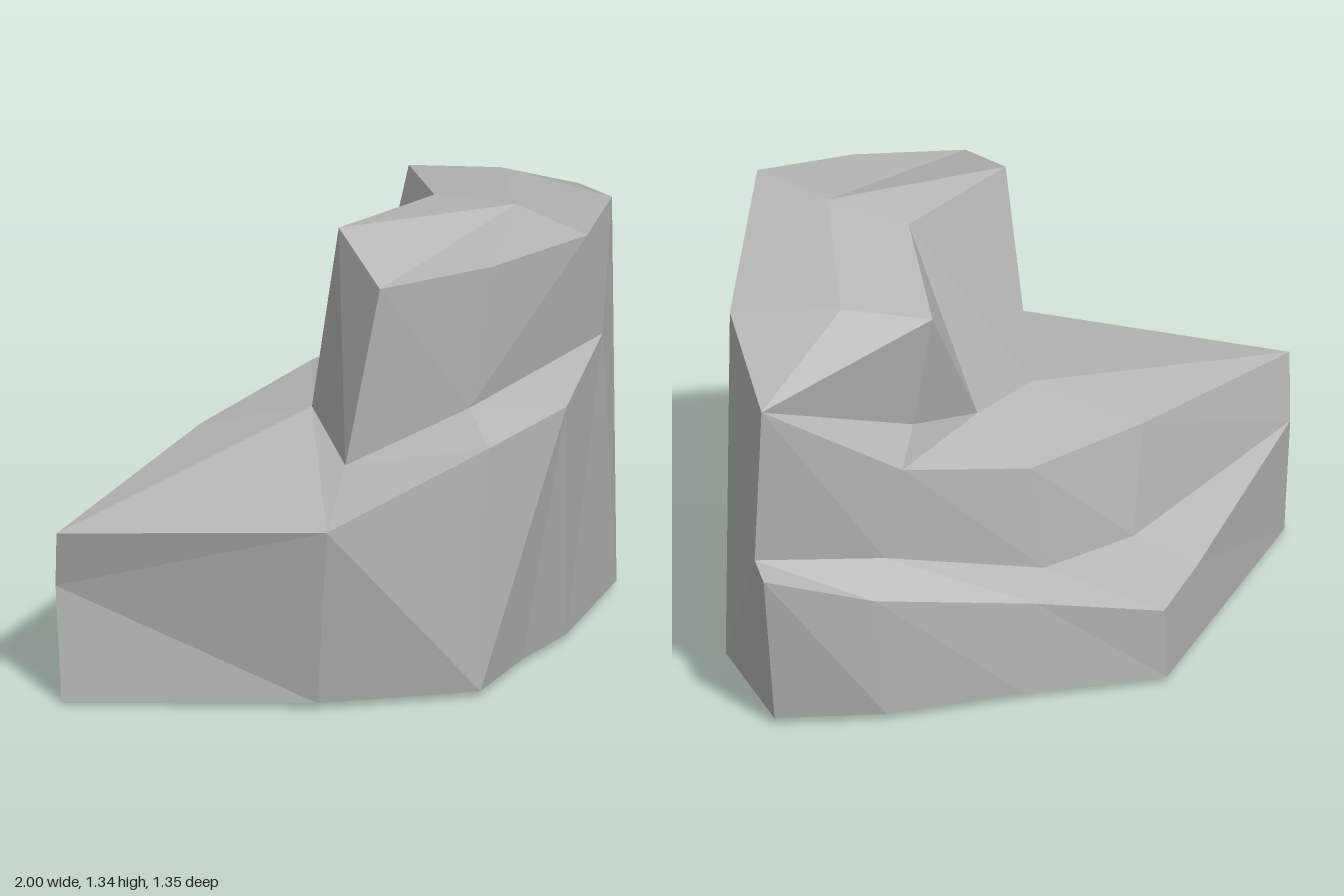
import * as THREE from 'three';

// The rock is an open shell with no underside, so both sides show.
const stone = new THREE.MeshStandardMaterial({ color: 0xb8b8b8, flatShading: true, side: THREE.DoubleSide });
stone.name = 'grey stone';

// Joins polylines a (upper or inner) and b (lower or outer), both running counterclockwise seen from above.
function strip(a, b) {
  const out = [];
  const tri = (p, q, r) => {
    if (p !== q && q !== r && r !== p) out.push(...p, ...q, ...r);
  };
  for (let i = 0; i < a.length - 1; i++) {
    tri(a[i], b[i], b[i + 1]);
    tri(a[i], b[i + 1], a[i + 1]);
  }
  return out;
}

// Triangles around one shared corner
const fan = (hub, points) => strip(points.map(() => hub), points);

function part(name, ...strips) {
  const g = new THREE.BufferGeometry();
  g.setAttribute('position', new THREE.Float32BufferAttribute(strips.flat(), 3));
  g.computeVertexNormals();
  const mesh = new THREE.Mesh(g, stone);
  mesh.name = name;
  return mesh;
}

export function createModel() {
  // Foot outline
  const foot = [
    [-0.96, 0, -0.23], [-0.47, 0.02, 0.31], [-0.08, 0.02, 0.575], [0.16, 0.02, 0.5], [0.37, 0.02, 0.465],
    [0.73, 0.02, 0.3], [0.9, 0.02, -0.08], [0.65, 0.02, -0.28], [0.28, 0.02, -0.46], [-0.08, 0.02, -0.67],
  ];
  // Rim of the front wall, climbing from the left end to the right summit
  const leftEnd = [-1, 0.55, -0.21], rimA = [-0.54, 0.61, 0.42], rimB = [-0.08, 0.79, 0.61];
  const rimC = [0.17, 0.86, 0.67], notch = [0.46, 0.95, 0.52];
  const shoulder = [0.79, 1.175, 0.22], corner = [0.98, 1.05, -0.11];
  // Summit block: crown corners, points inside the crown, and its base on the ledge
  const crown = [[-0.17, 1.34, 0.09], [-0.26, 1.26, 0.35], [0.03, 1.29, 0.51], [0.33, 1.32, 0.59]];
  const backPeak = [0.46, 1.22, -0.27], backDip = [0.23, 1.31, 0.07];
  const topA = [0.32, 1.33, 0.31], topB = [0.62, 1.23, -0.06];
  const baseBack = [[0.46, 0.85, -0.19], [0.16, 0.756, -0.14], [-0.13, 0.72, -0.06]];
  const baseSide = [-0.3, 0.69, 0.25], baseFront = [0, 0.84, 0.45];
  // Back edges: upper ledge, inner and outer lines of the lower ledge
  const upper = [corner, [0.55, 0.755, -0.24], [0.17, 0.67, -0.37], [-0.3, 0.63, -0.34], leftEnd];
  const inner = [[0.94, 0.53, -0.04], [0.585, 0.47, -0.205], [0.13, 0.34, -0.385], [-0.21, 0.32, -0.395], [-0.96, 0.36, -0.255]];
  const outer = [[1, 0.52, -0.14], [0.71, 0.41, -0.29], [0.25, 0.305, -0.48], [-0.06, 0.245, -0.68], [-0.31, 0.26, -0.56], inner[4]];

  const group = new THREE.Group();
  group.name = 'steppedRock';
  group.add(
    part('frontWall',
      strip([rimA, rimA, rimB, rimC, rimC, rimC, notch, notch, shoulder],
        [foot[1], foot[2], foot[2], foot[2], foot[3], foot[4], foot[4], foot[5], foot[5]])),
    part('leftWall', fan(inner[4], [foot[0], foot[1], rimA, leftEnd])),
    part('rightWall', fan(inner[0], [corner, shoulder, foot[5], foot[6]])),
    part('summitWalls',
      strip([...crown, crown[3], shoulder], [baseBack[2], baseSide, baseFront, baseFront, notch, notch]),
      strip([corner, backPeak, backDip, crown[0]], [corner, ...baseBack])),
    part('summitTop',
      strip([topA, topA, topA, topA, topB, topB, topB, topA, topA],
        [...crown, shoulder, corner, backPeak, backDip, crown[0]])),
    part('upperLedge',
      strip([corner, baseBack[0], baseBack[1], baseBack[2], baseBack[2], baseBack[2], baseSide, baseFront, notch],
        [corner, upper[1], upper[1], upper[2], upper[3], leftEnd, rimA, rimB, rimC])),
    part('upperBackWall', strip(upper, inner)),
    part('lowerLedge',
      strip([inner[0], inner[1], inner[2], inner[2], inner[3], inner[4]], outer)),
    part('lowerBackWall',
      strip([inner[0], ...outer],
        [foot[6], foot[6], foot[7], foot[8], foot[9], foot[9], foot[0]])),
  );
  return group;
}
